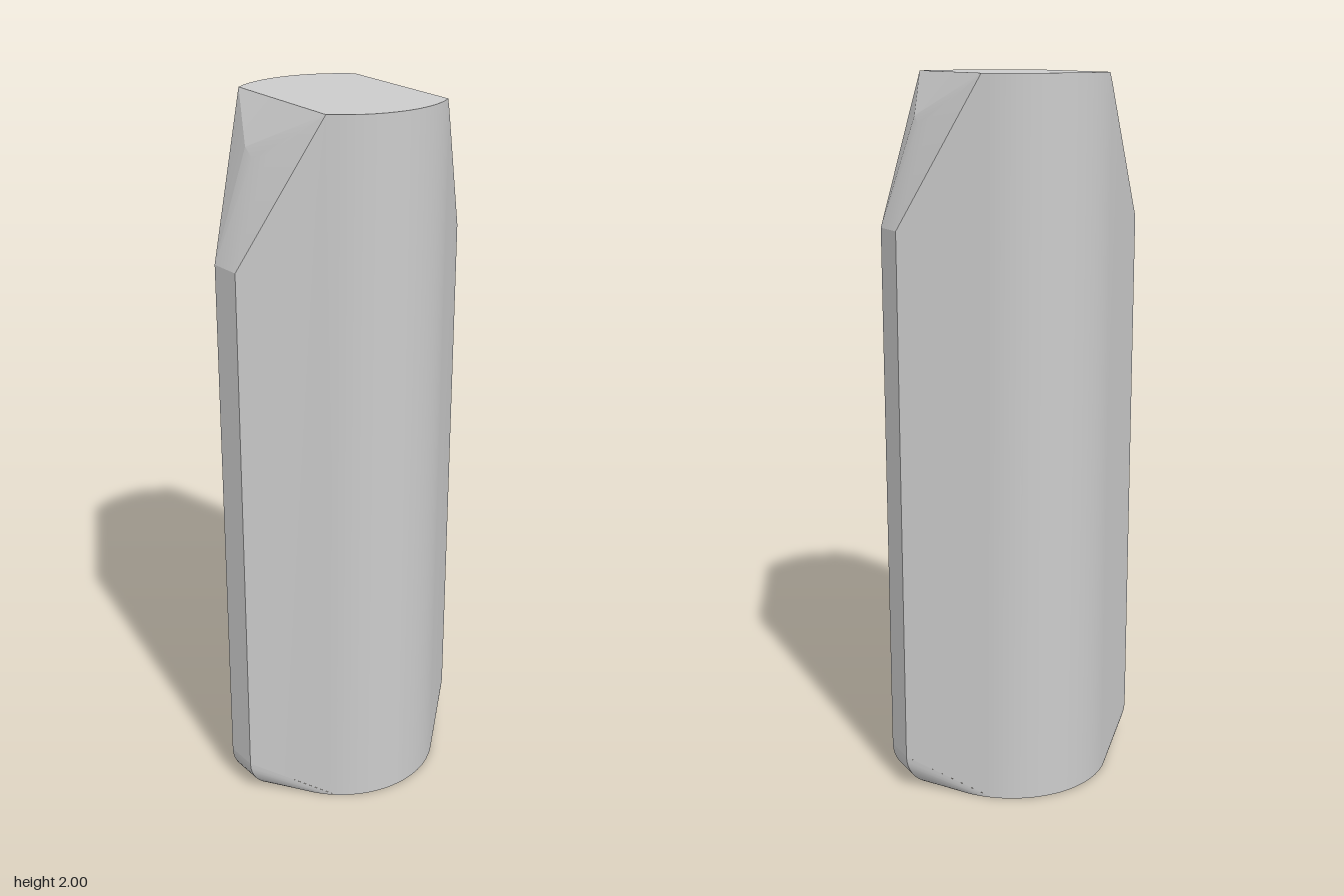
import * as THREE from 'three';
import { toCreasedNormals } from 'three/addons/utils/BufferGeometryUtils.js';

const R = 0.28, FIN_X = 0.372, FIN_Z = 0.047, FIN_TOP = 1.6, FILLET = 0.1;
const TANGENT = Math.atan2(0.182, 0.212); // where the fin flank leaves the round, from the z axis

const V = (x, y, z) => new THREE.Vector3(x, y, z);
const onCircle = (a, y, side) => V(R * Math.sin(a), y, side * R * Math.cos(a));
const centre = V(0, 1, 0);

// Collects triangles and turns each one to face away from the core.
function surface() {
  const pos = [];
  const tri = (a, b, c) => {
    const n = b.clone().sub(a).cross(c.clone().sub(a));
    if (n.lengthSq() < 1e-16) return;
    const mid = a.clone().add(b).add(c).divideScalar(3).sub(centre);
    for (const p of n.dot(mid) < 0 ? [a, c, b] : [a, b, c]) pos.push(p.x, p.y, p.z);
  };
  const strip = (p, q) => {
    for (let i = 0; i + 1 < p.length; i++) {
      tri(p[i], p[i + 1], q[i + 1]);
      tri(p[i], q[i + 1], q[i]);
    }
  };
  const fan = (c, pts) => { for (let i = 0; i + 1 < pts.length; i++) tri(c, pts[i], pts[i + 1]); };
  const mesh = (name) => {
    const g = new THREE.BufferGeometry();
    g.setAttribute('position', new THREE.Float32BufferAttribute(pos, 3));
    const m = new THREE.Mesh(toCreasedNormals(g, 0.3), new THREE.MeshStandardMaterial({ color: 0xcccccc }));
    m.name = name;
    return m;
  };
  return { tri, strip, fan, mesh };
}

function createHalf() {
  const half = new THREE.Group();

  // Corners of the slanted chamfer
  const back = V(0.198, 2, -0.198), front = onCircle(Math.atan2(0.165, 0.224), 2, 1);
  const finFront = V(FIN_X, FIN_TOP, FIN_Z), finBack = V(FIN_X, FIN_TOP, -FIN_Z);

  // Side walls: one bottom and one top point per column, front to back
  const wall = surface(), low = [], high = [];
  const column = (top, y0) => { low.push(V(top.x, y0, top.z)); high.push(top); };
  const frontAngle = Math.atan2(front.x, front.z);
  for (let i = 0; i <= 6; i++) column(onCircle(frontAngle * i / 6, 2, 1), 0);
  const bend = onCircle(TANGENT, 2, 1);
  bend.y = 2 - 0.4 * (bend.x - front.x) / (FIN_X - front.x);
  column(bend, 0);
  column(finFront, FILLET);
  column(finBack, FILLET);
  column(back, FILLET * (back.x - bend.x) / (FIN_X - bend.x));
  for (let i = 6; i >= 0; i--) column(onCircle(TANGENT * i / 6, 2, -1), 0);
  wall.strip(low, high);
  half.add(wall.mesh('sideWalls'));

  // Flat top
  const top = surface();
  top.fan(V(0, 2, 0), high.filter((p) => p.y === 2));
  half.add(top.mesh('topFace'));

  // Slanted facet with a rounded tip, then steeper facets down to the fin
  const chamfer = surface();
  const tip = [back, V(0.267, 1.888, -0.05), V(0.28, 1.87, 0), V(0.267, 1.888, 0.05), front];
  chamfer.fan(back, tip.slice(1));
  chamfer.fan(finBack, tip.slice(0, 3));
  chamfer.tri(tip[2], finFront, finBack);
  chamfer.fan(finFront, tip.slice(2));
  half.add(chamfer.mesh('topChamfer'));

  // Rounded lower end of the fin, blending into the round base
  const fillet = surface(), N = 10, rims = [], edges = [];
  const finAngle = Math.acos(FIN_Z / R), startX = R * Math.sin(finAngle);
  for (const side of [1, -1]) {
    const rim = [], edge = [];
    for (let i = 0; i <= N; i++) {
      const t = i / N, a = (1 - t) * Math.PI / 2;
      rim.push(onCircle(TANGENT + (finAngle - TANGENT) * t, 0, side));
      edge.push(V(startX + (FIN_X - startX) * Math.sin(a), FILLET * (1 - Math.cos(a)), side * FIN_Z));
    }
    fillet.strip(rim, edge);
    rims.push(rim);
    edges.push(edge);
  }
  fillet.strip(edges[0], edges[1]);
  half.add(fillet.mesh('finFillet'));

  // Flat round base
  const base = surface();
  const frontArc = low.slice(0, 7), backArc = low.slice(-7);
  base.fan(V(0, 0, 0), [...frontArc, ...rims[0], ...rims[1].reverse(), ...backArc]);
  half.add(base.mesh('baseFace'));
  return half;
}

export function createModel() {
  const model = new THREE.Group();
  model.name = 'finnedPin';
  // Two identical halves, half a turn apart
  ['leftHalf', 'rightHalf'].forEach((name, i) => {
    const half = createHalf();
    half.name = name;
    half.rotation.y = i * Math.PI;
    model.add(half);
  });
  return model;
}
